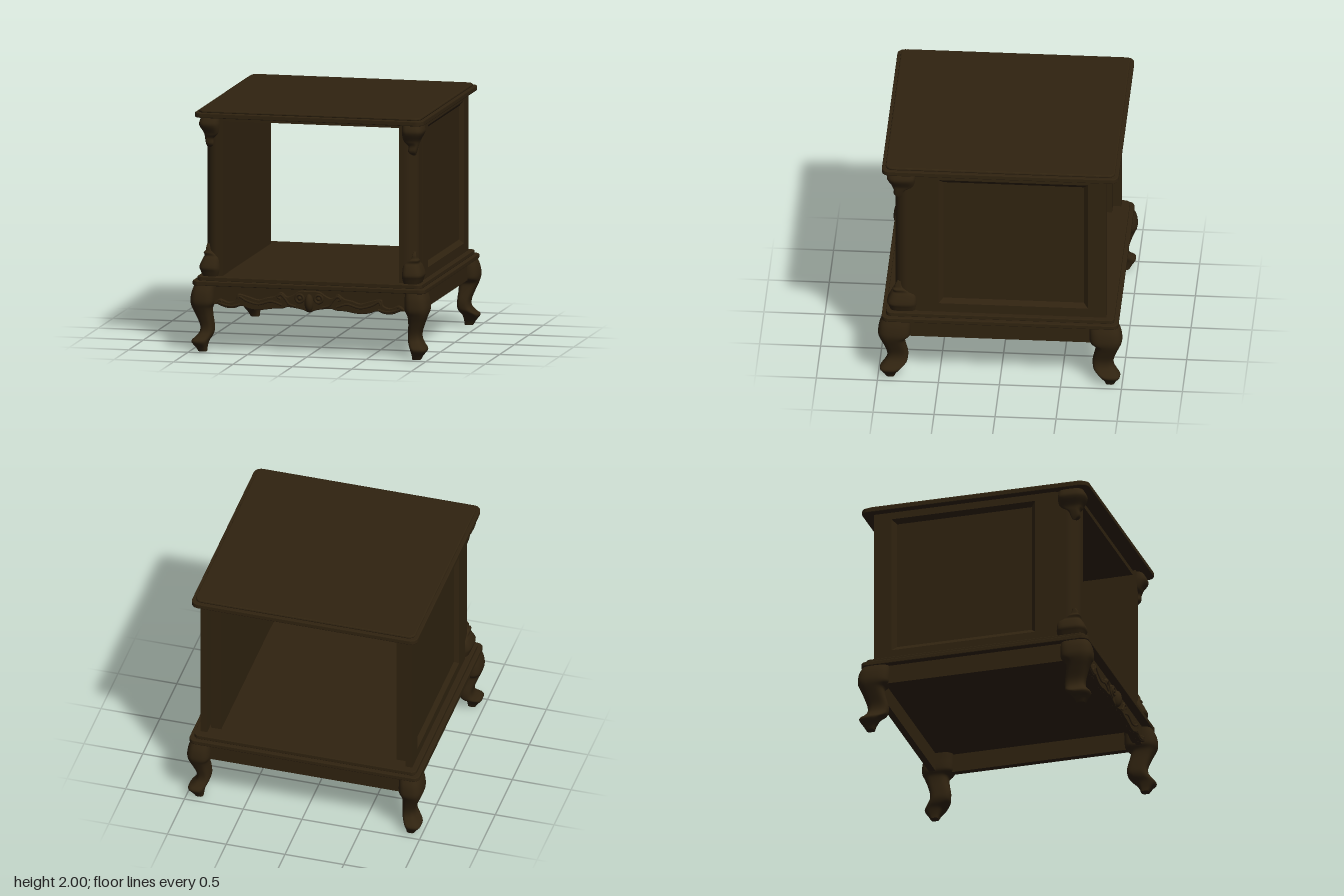
import * as THREE from 'three';

const wood = new THREE.MeshStandardMaterial({ color: 0x302310, side: THREE.DoubleSide });
wood.name = 'dark walnut';

// Mirrored copy of a geometry with its winding corrected
function mirrored(geo, sx, sz) {
  const g = geo.index ? geo.toNonIndexed() : geo.clone();
  g.scale(sx, 1, sz);
  if (sx * sz < 0) {
    for (const attr of Object.values(g.attributes)) {
      const n = attr.itemSize, a = attr.array;
      for (let i = 0; i < attr.count; i += 3) {
        for (let k = 0; k < n; k++) {
          const p = (i + 1) * n + k, q = (i + 2) * n + k;
          [a[p], a[q]] = [a[q], a[p]];
        }
      }
    }
  }
  return g;
}

// Smooth solid through rows of [y, x0, x1, z0, z1], with superelliptic sections
function loft(rows, power, steps, segs = 24) {
  const pos = [], idx = [];
  const at = (t) => {
    const f = Math.min(t, rows.length - 1.0001), i = Math.floor(f), u = f - i;
    return rows[i].map((v, k) => {
      const a = rows[Math.max(i - 1, 0)][k], b = rows[i + 1][k];
      const c = rows[Math.min(i + 2, rows.length - 1)][k];
      return v + 0.5 * u * (b - a + u * (2 * a - 5 * v + 4 * b - c + u * (3 * (v - b) + c - a)));
    });
  };
  const bend = (v) => Math.sign(v) * Math.pow(Math.abs(v), 2 / power);
  const n = (rows.length - 1) * steps;
  for (let i = 0; i <= n; i++) {
    const [y, x0, x1, z0, z1] = at(i / steps);
    for (let j = 0; j < segs; j++) {
      const t = (j / segs) * Math.PI * 2;
      pos.push((x0 + x1) / 2 + (x1 - x0) / 2 * bend(Math.cos(t)), y,
        (z0 + z1) / 2 + (z1 - z0) / 2 * bend(Math.sin(t)));
      if (i === n) continue;
      const a = i * segs + j, b = i * segs + (j + 1) % segs;
      idx.push(a, a + segs, b, b, a + segs, b + segs);
    }
  }
  // Flat end caps on their own vertices
  for (const end of [0, n]) {
    const start = pos.length / 3;
    for (let j = 0; j < segs * 3; j++) pos.push(pos[end * segs * 3 + j]);
    for (let j = 1; j < segs - 1; j++) {
      if (end) idx.push(start, start + j + 1, start + j);
      else idx.push(start, start + j, start + j + 1);
    }
  }
  const g = new THREE.BufferGeometry();
  g.setAttribute('position', new THREE.Float32BufferAttribute(pos, 3));
  g.setIndex(idx);
  g.computeVertexNormals();
  return g;
}

// Horizontal board with rounded corners and a small bevelled edge
function board(hx, hz, y0, y1, r, bevel) {
  const x = hx - bevel, z = hz - bevel, s = new THREE.Shape();
  s.moveTo(x, -z + r);
  s.absarc(x - r, z - r, r, 0, Math.PI / 2);
  s.absarc(-x + r, z - r, r, Math.PI / 2, Math.PI);
  s.absarc(-x + r, -z + r, r, Math.PI, Math.PI * 1.5);
  s.absarc(x - r, -z + r, r, Math.PI * 1.5, Math.PI * 2);
  const g = new THREE.ExtrudeGeometry(s, { depth: y1 - y0 - 2 * bevel, bevelSize: bevel,
    bevelThickness: bevel, bevelSegments: 2, curveSegments: 6 });
  return g.rotateX(-Math.PI / 2).translate(0, y0 + bevel, 0);
}

function block(x0, x1, y0, y1, z0, z1) {
  return new THREE.BoxGeometry(x1 - x0, y1 - y0, z1 - z0)
    .translate((x0 + x1) / 2, (y0 + y1) / 2, (z0 + z1) / 2);
}

// Outline symmetric about x = 0, from smooth lower and upper half curves
function symmetricShape(lower, upper) {
  const curve = (pts) => {
    const all = [...pts.slice(1).reverse().map(([x, y]) => [-x, y]), ...pts];
    return new THREE.SplineCurve(all.map((p) => new THREE.Vector2(...p))).getPoints(90);
  };
  return new THREE.Shape([...curve(lower), ...curve(upper).reverse()]);
}

export function createModel() {
  const model = new THREE.Group();
  const add = (name, geo) => {
    const m = new THREE.Mesh(geo, wood);
    m.name = name;
    model.add(m);
  };
  const pair = (name, geo) => {
    add(name + 'Left', geo);
    add(name + 'Right', mirrored(geo, -1, 1));
  };

  // Moulded top and ceiling
  add('topEdge', board(0.963, 0.97, 1.94, 1.98, 0.06, 0.006));
  add('topSurface', board(0.935, 0.94, 1.976, 2.0, 0.05, 0.01));
  add('ceiling', block(-0.86, 0.86, 1.9, 1.942, -0.8, 0.84));

  // Stepped base
  add('baseLower', board(0.98, 0.97, 0.55, 0.587, 0.05, 0.006));
  add('baseUpper', board(0.945, 0.935, 0.585, 0.62, 0.04, 0.005));

  // Side walls: inner lining, outer frame and sunken panel
  pair('wallLining', block(0.745, 0.83, 0.62, 1.94, -0.8, 0.7));
  const frame = new THREE.Shape([[-0.68, 0.62], [0.87, 0.62], [0.87, 1.94], [-0.68, 1.94]]
    .map((p) => new THREE.Vector2(...p)));
  frame.holes.push(new THREE.Path([[-0.505, 0.7], [-0.505, 1.88], [0.72, 1.88], [0.72, 0.7]]
    .map((p) => new THREE.Vector2(...p))));
  pair('wallFrame', new THREE.ExtrudeGeometry(frame, { depth: 0.055, bevelEnabled: false })
    .rotateY(Math.PI / 2).translate(0.845, 0, 0));
  const rim = (x, d) => [[0.505 - d, 0.7 + d], [-0.72 + d, 0.7 + d], [-0.72 + d, 1.88 - d], [0.505 - d, 1.88 - d]]
    .flatMap(([z, y]) => [x, y, z]);
  const panel = new THREE.BufferGeometry();
  panel.setAttribute('position', new THREE.Float32BufferAttribute([...rim(0.9, 0), ...rim(0.868, 0.037)], 3));
  const faces = [4, 5, 6, 4, 6, 7];
  for (let i = 0; i < 4; i++) {
    const j = (i + 1) % 4;
    faces.push(i, j, j + 4, i, j + 4, i + 4);
  }
  panel.setIndex(faces);
  const flatPanel = panel.toNonIndexed();
  flatPanel.computeVertexNormals();
  pair('sunkenPanel', flatPanel);

  // Front corner columns with a rounded outer edge
  const col = new THREE.Shape();
  col.moveTo(0.742, -0.66);
  col.lineTo(0.742, -0.865);
  col.lineTo(0.79, -0.865);
  col.absarc(0.79, -0.765, 0.1, -Math.PI / 2, 0);
  col.lineTo(0.89, -0.66);
  pair('cornerColumn', new THREE.ExtrudeGeometry(col, { depth: 1.32, bevelEnabled: false, curveSegments: 10 })
    .rotateX(-Math.PI / 2).translate(0, 0.62, 0));

  // Carved leaves at the head and foot of each column
  pair('headLeaf', loft([
    [1.68, 0.835, 0.875, 0.81, 0.845], [1.71, 0.815, 0.885, 0.79, 0.875],
    [1.755, 0.815, 0.895, 0.775, 0.875], [1.785, 0.785, 0.9, 0.72, 0.89],
    [1.81, 0.77, 0.91, 0.7, 0.9], [1.865, 0.765, 0.94, 0.695, 0.93],
    [1.9, 0.765, 0.938, 0.695, 0.928], [1.942, 0.765, 0.92, 0.7, 0.905],
  ], 3.2, 3));
  pair('footLeaf', loft([
    [0.62, 0.775, 0.915, 0.69, 0.905], [0.66, 0.765, 0.93, 0.685, 0.92],
    [0.695, 0.765, 0.94, 0.685, 0.93], [0.76, 0.77, 0.915, 0.69, 0.9],
    [0.785, 0.785, 0.9, 0.73, 0.88], [0.81, 0.82, 0.905, 0.775, 0.885],
    [0.825, 0.84, 0.89, 0.795, 0.87], [0.85, 0.85, 0.885, 0.81, 0.865],
    [0.88, 0.855, 0.88, 0.815, 0.845],
  ], 3.2, 3));

  // Cabriole legs
  const leg = loft([
    [0, 0.865, 0.935, 0.865, 0.935], [0.035, 0.862, 0.955, 0.85, 0.955],
    [0.085, 0.85, 0.99, 0.815, 0.985], [0.125, 0.83, 0.955, 0.77, 0.955],
    [0.165, 0.82, 0.93, 0.757, 0.93], [0.22, 0.822, 0.93, 0.757, 0.93],
    [0.3, 0.828, 0.96, 0.775, 0.955], [0.36, 0.825, 0.985, 0.78, 0.98],
    [0.4, 0.805, 0.998, 0.74, 0.997], [0.44, 0.8, 1.0, 0.732, 1.0],
    [0.5, 0.8, 0.99, 0.73, 0.99], [0.552, 0.8, 0.97, 0.73, 0.968],
  ], 3, 4, 28);
  for (const sz of [1, -1]) {
    for (const sx of [1, -1]) {
      add((sz > 0 ? 'front' : 'back') + 'Leg' + (sx > 0 ? 'Left' : 'Right'), mirrored(leg, sx, sz));
    }
  }

  // Plain side and back aprons
  pair('sideApron', block(0.87, 0.925, 0.393, 0.552, -0.8, 0.8));
  add('backApron', block(-0.86, 0.86, 0.393, 0.552, -0.92, -0.865));

  // Shaped front apron with raised carving
  const lower = [[0, 0.355], [0.04, 0.37], [0.1, 0.383], [0.18, 0.392], [0.23, 0.378], [0.3, 0.375],
    [0.42, 0.358], [0.5, 0.365], [0.57, 0.387], [0.63, 0.367], [0.7, 0.367], [0.76, 0.39], [0.83, 0.392]];
  add('frontApron', new THREE.ExtrudeGeometry(symmetricShape(lower, [[0, 0.552], [0.4, 0.552], [0.83, 0.552]]),
    { depth: 0.05, bevelEnabled: false }).translate(0, 0, 0.85));
  const crest = [[0, 0.525], [0.08, 0.525], [0.14, 0.49], [0.19, 0.475], [0.24, 0.51], [0.29, 0.475],
    [0.36, 0.46], [0.43, 0.44], [0.52, 0.465], [0.6, 0.48], [0.62, 0.43], [0.68, 0.41], [0.75, 0.435], [0.79, 0.41]];
  add('apronCarving', new THREE.ExtrudeGeometry(symmetricShape(lower.slice(0, 12).map(([x, y]) => [x, y + 0.006]), crest),
    { depth: 0.016, bevelSize: 0.005, bevelThickness: 0.01, bevelSegments: 2 }).translate(0, 0, 0.9));

  // Scrolls, rosettes and centre shell on the carving
  const scrolls = [
    [[0.11, 0.4], [0.17, 0.42], [0.2, 0.46], [0.24, 0.495], [0.265, 0.475], [0.24, 0.46]],
    [[0.23, 0.41], [0.32, 0.435], [0.43, 0.41], [0.53, 0.435], [0.59, 0.465], [0.6, 0.44]],
    [[0.58, 0.4], [0.65, 0.385], [0.72, 0.395], [0.77, 0.42], [0.75, 0.43], [0.735, 0.415]],
  ];
  scrolls.forEach((pts, i) => {
    const path = new THREE.CatmullRomCurve3(pts.map(([x, y]) => new THREE.Vector3(x, y, 0.925)));
    pair('scroll' + (i + 1), new THREE.TubeGeometry(path, 30, 0.011, 6));
  });
  pair('rosetteRing', new THREE.TorusGeometry(0.032, 0.011, 8, 20).translate(0.08, 0.47, 0.927));
  pair('rosetteBud', new THREE.SphereGeometry(0.016, 12, 8).translate(0.08, 0.47, 0.927));
  add('centreShell', new THREE.SphereGeometry(1, 16, 12).scale(0.036, 0.075, 0.045).translate(0, 0.435, 0.928));

  return model;
}
